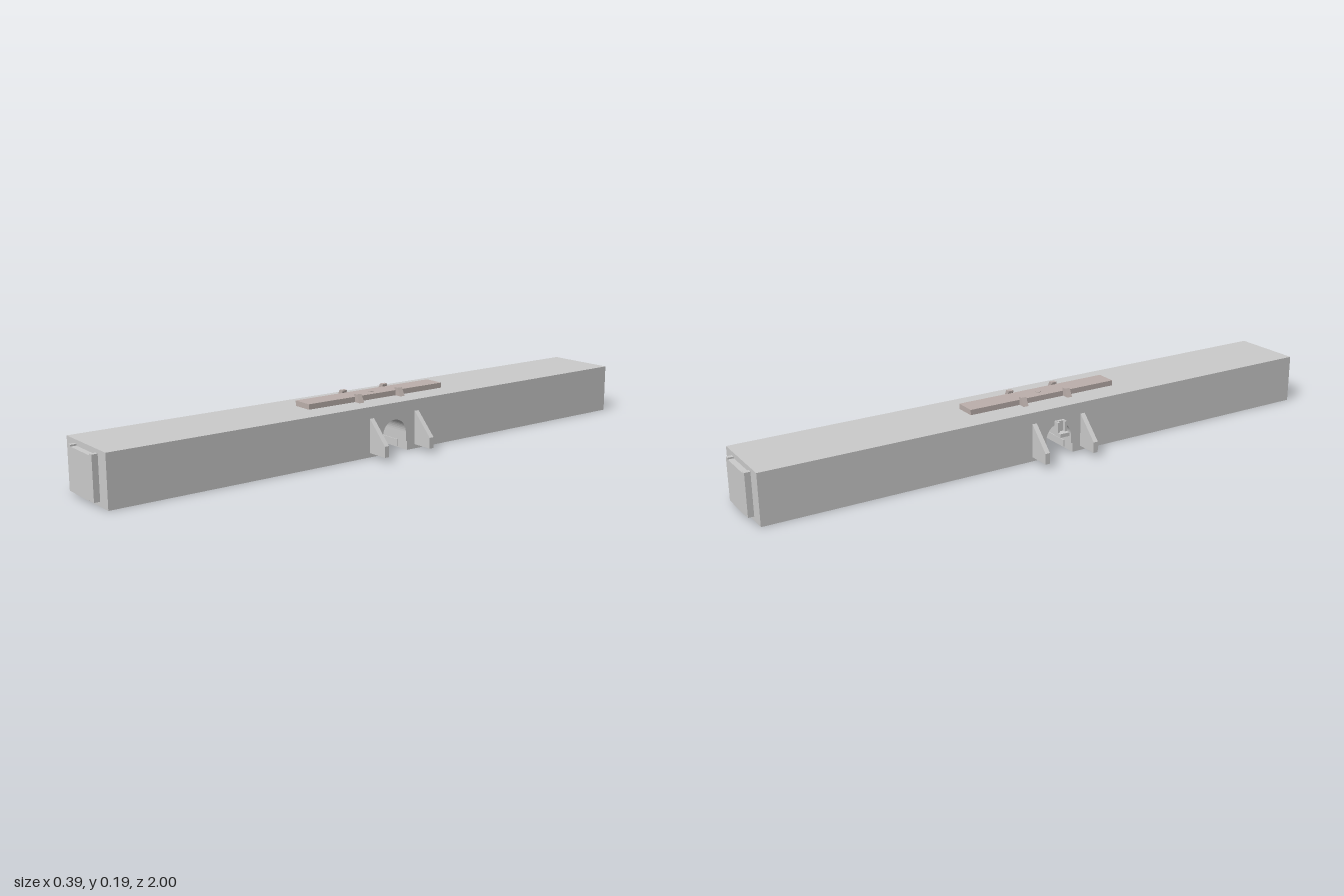
import * as THREE from 'three';

const grey = new THREE.MeshStandardMaterial({ color: 0xcccccc, flatShading: true });
const brown = new THREE.MeshStandardMaterial({ color: 0xbcb0ac, flatShading: true });

function box(name, w, h, d, x, y, z, mat = grey) {
  const m = new THREE.Mesh(new THREE.BoxGeometry(w, h, d), mat);
  m.name = name;
  m.position.set(x, y, z);
  return m;
}

// Plate with an outline in x/y, centred on z
function plate(name, pts, depth, z, mat = grey) {
  const shape = new THREE.Shape(pts.map(p => new THREE.Vector2(...p)));
  const geo = new THREE.ExtrudeGeometry(shape, { depth, bevelEnabled: false });
  geo.translate(0, 0, z - depth / 2);
  const m = new THREE.Mesh(geo, mat);
  m.name = name;
  return m;
}

export function createModel() {
  const model = new THREE.Group();
  model.name = 'beam';

  // Long beam with an arched channel across its underside
  const s = new THREE.Shape();
  s.moveTo(-0.982, 0);
  s.lineTo(-0.052, 0);
  s.lineTo(-0.052, 0.03);
  s.lineTo(-0.046, 0.03);
  s.lineTo(-0.046, 0.06);
  s.absarc(0, 0.06, 0.046, Math.PI, 0, true);
  s.lineTo(0.046, 0.03);
  s.lineTo(0.052, 0.03);
  s.lineTo(0.052, 0);
  s.lineTo(0.982, 0);
  s.lineTo(0.982, 0.16);
  s.lineTo(-0.982, 0.16);
  const bodyGeo = new THREE.ExtrudeGeometry(s, { depth: 0.24, bevelEnabled: false, curveSegments: 12 });
  bodyGeo.translate(0, 0, -0.12);
  bodyGeo.rotateY(Math.PI / 2);
  const body = new THREE.Mesh(bodyGeo, grey);
  body.name = 'body';
  model.add(body);

  // End plates with a shallow notch in the top and a step in the bottom
  const endOutline = [
    [-0.073, 0.014], [-0.042, 0.014], [-0.042, 0.012], [0.042, 0.012], [0.042, 0.014], [0.073, 0.014],
    [0.073, 0.148], [0.059, 0.148], [0.059, 0.143], [-0.059, 0.143], [-0.059, 0.148], [-0.073, 0.148],
  ];
  for (const z of [-1, 1]) model.add(plate('endPlate', endOutline, 0.02, z * 0.99));

  // Side fins and the rail clips, mirrored across both axes
  for (const z of [-1, 1]) {
    for (const x of [-1, 1]) {
      const flip = pts => pts.map(([a, b]) => [a * x, b]);
      model.add(plate('sideFin', flip([[0.118, 0.014], [0.194, 0.014], [0.194, 0.049], [0.118, 0.125]]), 0.016, z * 0.09));
      model.add(plate('railClip', flip([
        [0.033, 0.16], [0.059, 0.16], [0.045, 0.186], [0.03, 0.186], [0.03, 0.181], [0.033, 0.179],
      ]), 0.018, z * 0.082, brown));
    }
    // Thin panel on each channel wall
    model.add(box('channelPanel', 0.15, 0.022, 0.004, 0, 0.015, z * 0.051));
  }

  // Rail on top with its centre button
  model.add(box('rail', 0.07, 0.017, 0.534, 0, 0.1685, 0, brown));
  const button = new THREE.Mesh(new THREE.CylinderGeometry(0.009, 0.009, 0.004, 16), brown);
  button.name = 'centreButton';
  button.position.y = 0.177;
  model.add(button);

  // Small forked bracket above the channel on one side
  const bracket = new THREE.Group();
  bracket.name = 'bracket';
  bracket.add(box('bracketBack', 0.012, 0.046, 0.034, -0.124, 0.095, 0));
  for (const z of [-1, 1]) bracket.add(box('bracketCheek', 0.016, 0.04, 0.008, -0.132, 0.097, z * 0.013));
  bracket.add(box('bracketFoot', 0.034, 0.012, 0.034, -0.137, 0.078, 0));
  model.add(bracket);

  return model;
}
